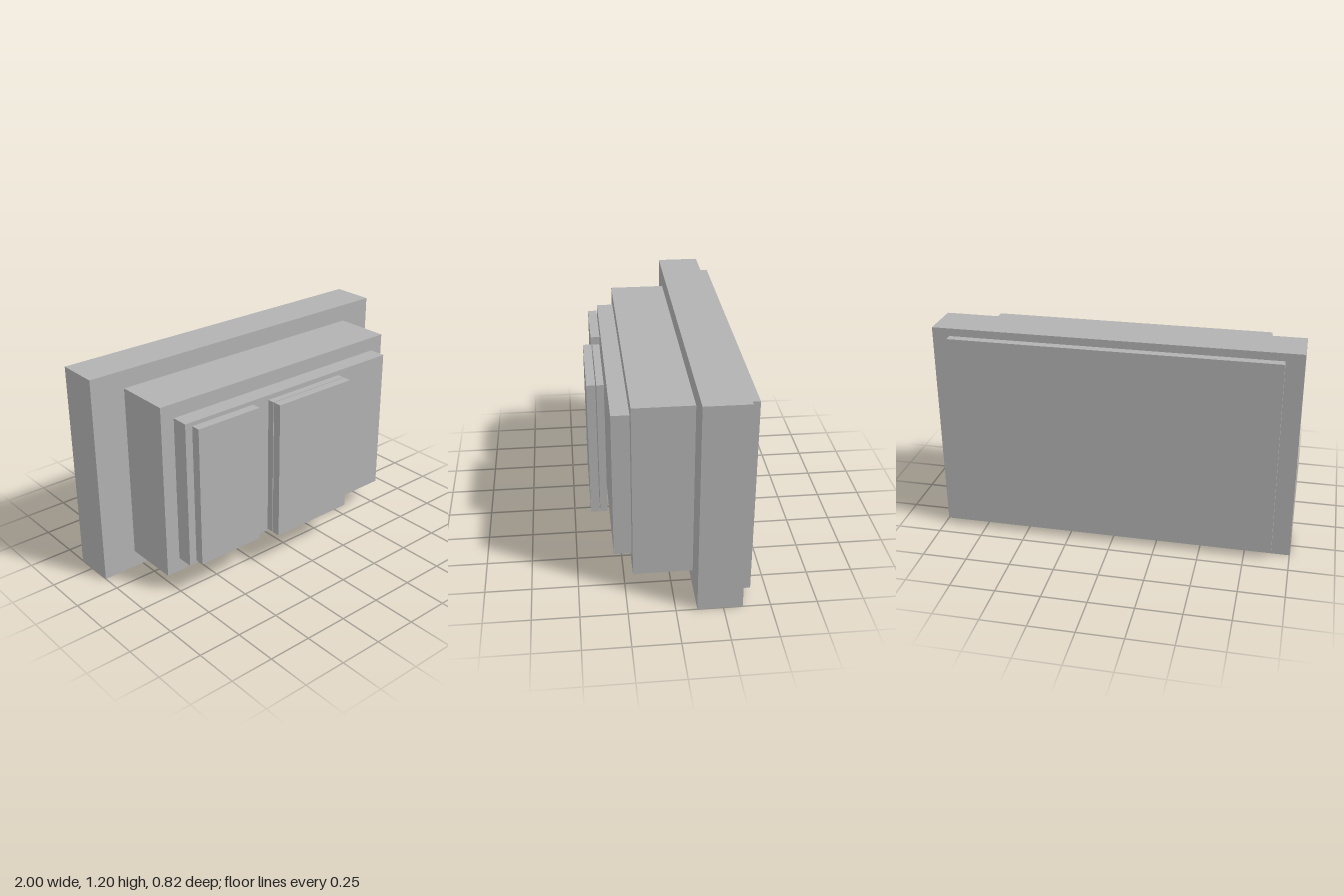
import * as THREE from 'three';

export function createModel() {
  const model = new THREE.Group();
  model.name = 'steppedPanelUnit';
  const grey = new THREE.MeshStandardMaterial({ color: 0xb2b2b2 });
  grey.name = 'plain grey';

  // Box given by its extents along x, y and z
  function slab(name, [x0, x1], [y0, y1], [z0, z1]) {
    const mesh = new THREE.Mesh(new THREE.BoxGeometry(x1 - x0, y1 - y0, z1 - z0), grey);
    mesh.position.set((x0 + x1) / 2, (y0 + y1) / 2, (z0 + z1) / 2);
    mesh.name = name;
    model.add(mesh);
  }

  // Main housing, from the back to the front
  slab('backPanel', [-0.9, 0.9], [0.04, 1.16], [-0.408, -0.36]);
  slab('frame', [-1, 1], [0, 1.2], [-0.352, -0.112]);
  slab('body', [-0.8, 0.8], [0.1, 1.1], [-0.112, 0.208]);
  slab('frontPlate', [-0.72, 0.72], [0.18, 1.02], [0.208, 0.304]);

  // Panels floating just off the front plate
  slab('narrowPanel', [-0.68, -0.28], [0.2, 1], [0.309, 0.361]);
  slab('widePanelInner', [-0.18, 0.34], [0.2, 1], [0.316, 0.356]);
  slab('widePanelOuter', [-0.18, 0.34], [0.2, 1], [0.361, 0.409]);

  return model;
}
